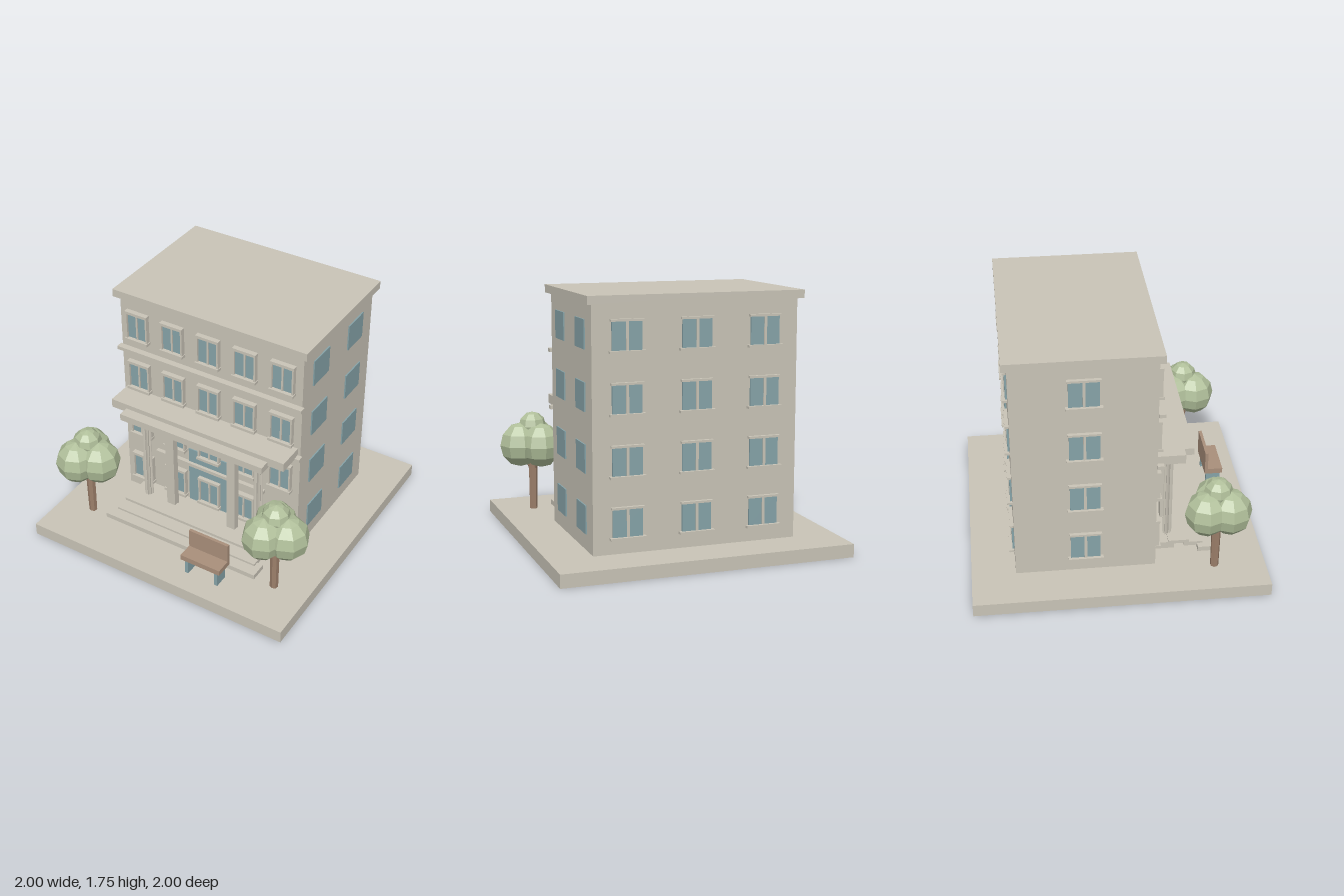
import * as THREE from 'three';

const mat = (name, color, flat = false) => {
  const m = new THREE.MeshStandardMaterial({ color, flatShading: flat });
  m.name = name;
  return m;
};

export function createModel() {
  const model = new THREE.Group();
  model.name = 'apartmentBuilding';
  const stone = mat('paleStone', 0xc9c4b7);
  const glass = mat('blueGlass', 0x86a3a8);
  const wood = mat('benchWood', 0xa98f7b);
  const bark = mat('bark', 0x9c7f6a, true);
  const leaf = mat('leaf', 0xb1c09b, true);

  // Box given by its lower and upper corners
  const box = (parent, name, m, x0, x1, y0, y1, z0, z1) => {
    const mesh = new THREE.Mesh(new THREE.BoxGeometry(x1 - x0, y1 - y0, z1 - z0), m);
    mesh.position.set((x0 + x1) / 2, (y0 + y1) / 2, (z0 + z1) / 2);
    mesh.name = name;
    parent.add(mesh);
    return mesh;
  };

  // Plot, walls and roof
  box(model, 'plot', stone, -1, 1, 0, 0.09, -1, 1);
  box(model, 'walls', stone, -0.7, 0.7, 0.09, 1.7, -0.7, 0.25);
  box(model, 'roofSlab', stone, -0.735, 0.735, 1.695, 1.75, -0.735, 0.285);

  // Ledges across the front
  box(model, 'upperLedge', stone, -0.715, 0.715, 1.285, 1.31, 0.25, 0.295);
  box(model, 'middleLedge', stone, -0.715, 0.715, 0.885, 0.91, 0.25, 0.295);
  box(model, 'lowerLedge', stone, -0.44, 0.44, 0.48, 0.505, 0.25, 0.28);

  // Windows are built facing +z with the bottom of the glass at y = 0
  const place = (name, x, y, z, turn) => {
    const g = new THREE.Group();
    g.name = name;
    g.position.set(x, y, z);
    g.rotation.y = turn;
    model.add(g);
    return g;
  };
  const framedWindow = (x, y) => {
    const g = place('frontWindow', x, y, 0.25, 0);
    box(g, 'pane', glass, -0.075, 0.075, 0, 0.19, 0, 0.016);
    for (const s of [-1, 1]) box(g, 'jamb', stone, s * 0.079 - 0.006, s * 0.079 + 0.006, 0, 0.19, 0, 0.033);
    box(g, 'mullion', stone, -0.006, 0.006, 0, 0.19, 0, 0.025);
    box(g, 'lintel', stone, -0.087, 0.087, 0.188, 0.208, 0, 0.036);
    box(g, 'sill', stone, -0.09, 0.09, -0.02, 0, 0, 0.044);
  };
  const ledgeWindow = (name, x, y, z, turn) => {
    const g = place(name, x, y, z, turn);
    box(g, 'pane', glass, -0.1, 0.1, 0, 0.19, 0, 0.013);
    box(g, 'mullion', stone, -0.009, 0.009, 0, 0.19, 0, 0.02);
    box(g, 'lintel', stone, -0.11, 0.11, 0.185, 0.2, 0, 0.025);
    box(g, 'sill', stone, -0.12, 0.12, -0.014, 0.002, 0, 0.034);
  };
  for (let floor = 0; floor < 4; floor++) {
    const y = 0.2 + floor * 0.4;
    for (let i = -2; i <= 2; i++) framedWindow(i * 0.28, y);
    for (let i = -1; i <= 1; i++) ledgeWindow('backWindow', i * 0.47, y, -0.7, Math.PI);
    ledgeWindow('rightSideWindow', -0.7, y, -0.225, -Math.PI / 2);
    for (const z of [0.018, -0.458])
      box(model, 'leftSidePane', glass, 0.7, 0.709, y, y + 0.19, z - 0.103, z + 0.103);
  }

  // Entrance
  box(model, 'entranceDoor', glass, -0.175, 0.175, 0.14, 0.615, 0.25, 0.258);
  box(model, 'porchRoofUpper', stone, -0.68, 0.68, 0.9, 0.964, 0.25, 0.44);
  box(model, 'porchRoofLower', stone, -0.56, 0.56, 0.88, 0.93, 0.25, 0.515);
  box(model, 'landing', stone, -0.565, 0.565, 0.11, 0.16, 0.25, 0.4);
  box(model, 'topStep', stone, -0.565, 0.565, 0.145, 0.17, 0.36, 0.505);
  box(model, 'middleStep', stone, -0.565, 0.565, 0.12, 0.15, 0.47, 0.6);
  box(model, 'bottomStep', stone, -0.61, 0.61, 0.1, 0.135, 0.56, 0.68);

  // Fluted outer columns and plain inner ones
  const flutes = new THREE.Shape();
  for (let i = 0; i < 20; i++) {
    const a = (i / 20) * Math.PI * 2, r = i % 2 ? 0.022 : 0.031;
    flutes[i ? 'lineTo' : 'moveTo'](Math.cos(a) * r, Math.sin(a) * r);
  }
  const columnGeo = new THREE.ExtrudeGeometry(flutes, { depth: 0.73, bevelEnabled: false });
  columnGeo.rotateX(-Math.PI / 2);
  for (const s of [-1, 1]) {
    const column = new THREE.Mesh(columnGeo, stone);
    column.name = 'flutedColumn';
    column.position.set(s * 0.452, 0.155, 0.365);
    model.add(column);
    box(model, 'plainColumn', stone, s * 0.248 - 0.033, s * 0.248 + 0.033, 0.155, 0.885, 0.34, 0.39);
  }

  // Bench
  const bench = new THREE.Group();
  bench.name = 'bench';
  model.add(bench);
  box(bench, 'seat', wood, 0.145, 0.45, 0.205, 0.245, 0.735, 0.865);
  box(bench, 'backrest', wood, 0.145, 0.45, 0.24, 0.383, 0.735, 0.757);
  for (const x of [0.17, 0.402]) box(bench, 'benchLeg', glass, x, x + 0.025, 0.085, 0.206, 0.75, 0.853);

  // Trees: trunk, three branches, three large crowns and a small one on top
  const trunkGeo = new THREE.CylinderGeometry(0.033, 0.029, 0.37, 7);
  const branchGeo = new THREE.CylinderGeometry(0.014, 0.02, 0.16, 6);
  const crownGeo = new THREE.SphereGeometry(1, 8, 6);
  for (const tx of [-0.75, 0.75]) {
    const tree = new THREE.Group();
    tree.name = 'tree';
    tree.position.set(tx, 0.09, 0.65);
    model.add(tree);
    const part = (name, geo, m, x, y, z) => {
      const mesh = new THREE.Mesh(geo, m);
      mesh.name = name;
      mesh.position.set(x, y, z);
      tree.add(mesh);
      return mesh;
    };
    part('trunk', trunkGeo, bark, 0, 0.18, 0);
    for (let i = 0; i < 3; i++) {
      const a = (i / 3) * Math.PI * 2, c = Math.cos(a), s = Math.sin(a);
      const branch = part('branch', branchGeo, bark, c * 0.035, 0.36, s * 0.035);
      branch.quaternion.setFromUnitVectors(new THREE.Vector3(0, 1, 0), new THREE.Vector3(c * 0.4, 1, s * 0.4).normalize());
      part('crown', crownGeo, leaf, c * 0.09, 0.48, s * 0.09).scale.set(0.148, 0.16, 0.148);
    }
    part('topCrown', crownGeo, leaf, 0, 0.615, 0).scale.setScalar(0.1);
  }
  return model;
}
